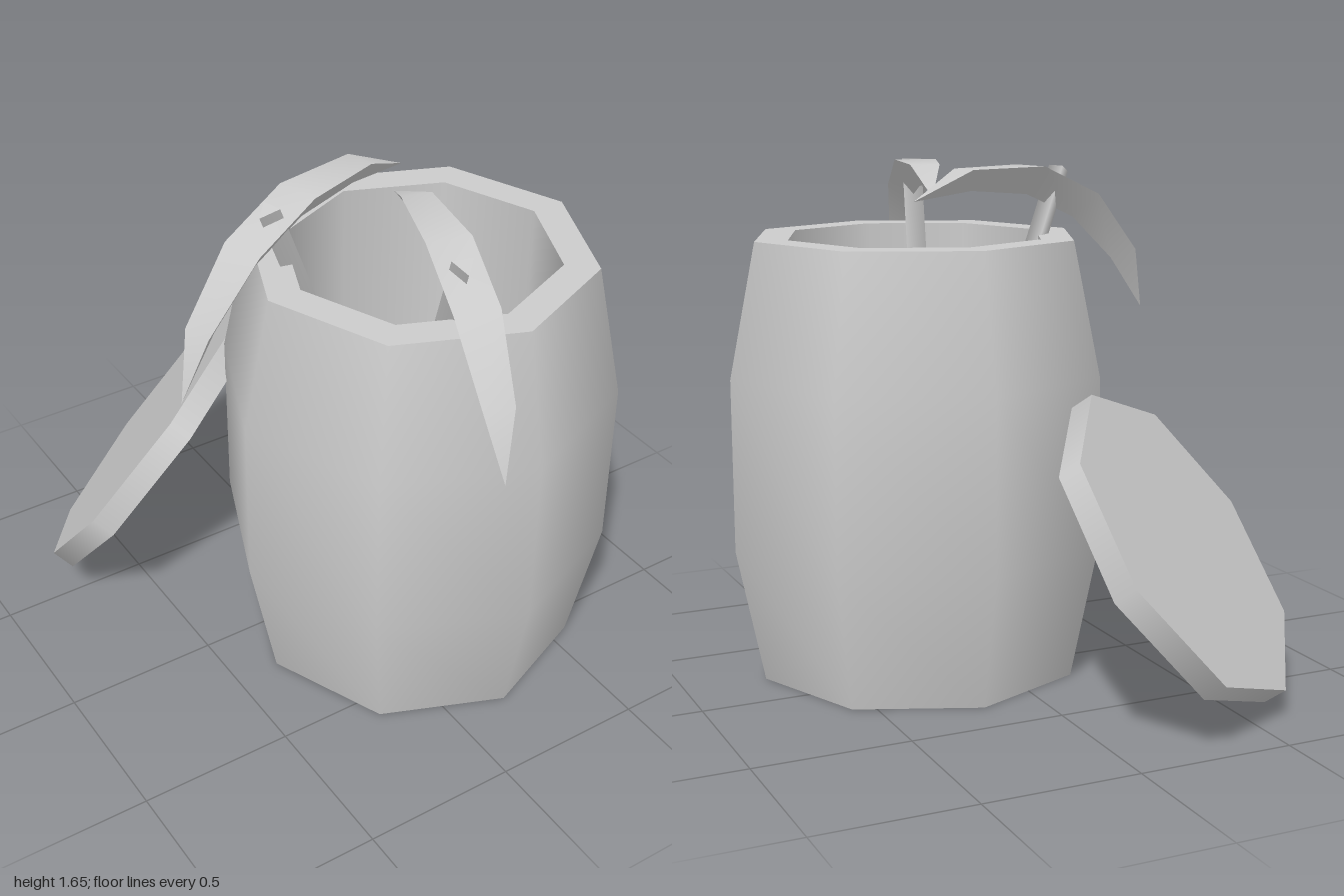
import * as THREE from 'three';
import { toCreasedNormals } from 'three/addons/utils/BufferGeometryUtils.js';

const material = new THREE.MeshStandardMaterial({ color: 0xcccccc });

function part(name, geometry) {
  const mesh = new THREE.Mesh(geometry, material);
  mesh.name = name;
  return mesh;
}

// Eight-sided ring of surface from a few [radius, height] points
function lathe(name, points) {
  return part(name, new THREE.LatheGeometry(points.map(p => new THREE.Vector2(...p)), 8));
}

function createBarrel() {
  const barrel = new THREE.Group();
  barrel.name = 'barrel';
  const floorY = 0.36;
  barrel.add(
    lathe('barrelWall', [[0.54, 0], [0.63, 0.44], [0.63, 1], [0.54, 1.43]]),
    lathe('barrelRim', [[0.54, 1.43], [0.43, 1.43]]),
    lathe('barrelInside', [[0.43, 1.43], [0.43, floorY]]),
    lathe('barrelFloor', [[0.43, floorY], [0, floorY]]),
    lathe('barrelBase', [[0, 0], [0.54, 0]])
  );
  barrel.position.set(0.19, 0, 0.2);
  return barrel;
}

// Arched pick head: triangular sections with a flat top and a ridge below,
// tapering to a point at both ends
function pickHeadGeometry() {
  // [along, top height, half width, ridge along, ridge height]
  const stations = [
    [0, 0, 0, 0, 0],
    [0.147, 0.16, 0.048, 0.2, 0.108],
    [0.4, 0.267, 0.07, 0.42, 0.177],
    [0.654, 0.267, 0.07, 0.634, 0.177],
    [0.907, 0.16, 0.048, 0.854, 0.108],
    [1.054, 0, 0, 1.054, 0]
  ];
  const rings = stations.map(([t, h, w, rt, rh]) => [[t, h, -w], [t, h, w], [rt, rh, 0]]);
  const positions = [];
  const last = rings.length - 2;
  for (let i = 0; i <= last; i++) {
    for (let k = 0; k < 3; k++) {
      const n = (k + 1) % 3;
      const [a, b] = [rings[i], rings[i + 1]];
      if (i > 0) positions.push(...a[k], ...a[n], ...b[n]);
      if (i < last) positions.push(...a[k], ...b[n], ...b[k]);
      else continue;
    }
  }
  const geometry = new THREE.BufferGeometry();
  geometry.setAttribute('position', new THREE.Float32BufferAttribute(positions, 3));
  return toCreasedNormals(geometry, 0.75);
}

// Pickaxe with its upper tip at the origin, leaning down along +x
function createPickaxe(name, tip, turn) {
  const pickaxe = new THREE.Group();
  pickaxe.name = name;
  const top = 0.305, bottom = -1.03;
  const handle = part('pickHandle',
    new THREE.CylinderGeometry(0.038, 0.038, top - bottom, 3, 1, false, Math.PI / 2));
  handle.position.set(0.52, (top + bottom) / 2, 0);
  pickaxe.add(part('pickHead', pickHeadGeometry()), handle);
  pickaxe.rotation.set(0, turn, -0.395, 'YZX');
  pickaxe.position.set(...tip);
  return pickaxe;
}

export function createModel() {
  const model = new THREE.Group();
  model.name = 'barrelWithPickaxes';
  model.add(createBarrel());

  // Lid leaning against the back of the barrel
  const lid = part('lid', new THREE.CylinderGeometry(0.543, 0.543, 0.08, 8));
  lid.rotation.set(-0.944, 0.765, 0, 'YXZ');
  lid.position.set(-0.37, 0.506, -0.555);
  model.add(lid);

  // Two pickaxes standing in the barrel
  model.add(
    createPickaxe('frontPickaxe', [0.19, 1.56, 0.05], -1.845),
    createPickaxe('sidePickaxe', [0.31, 1.56, -0.085], -2.88)
  );
  return model;
}
